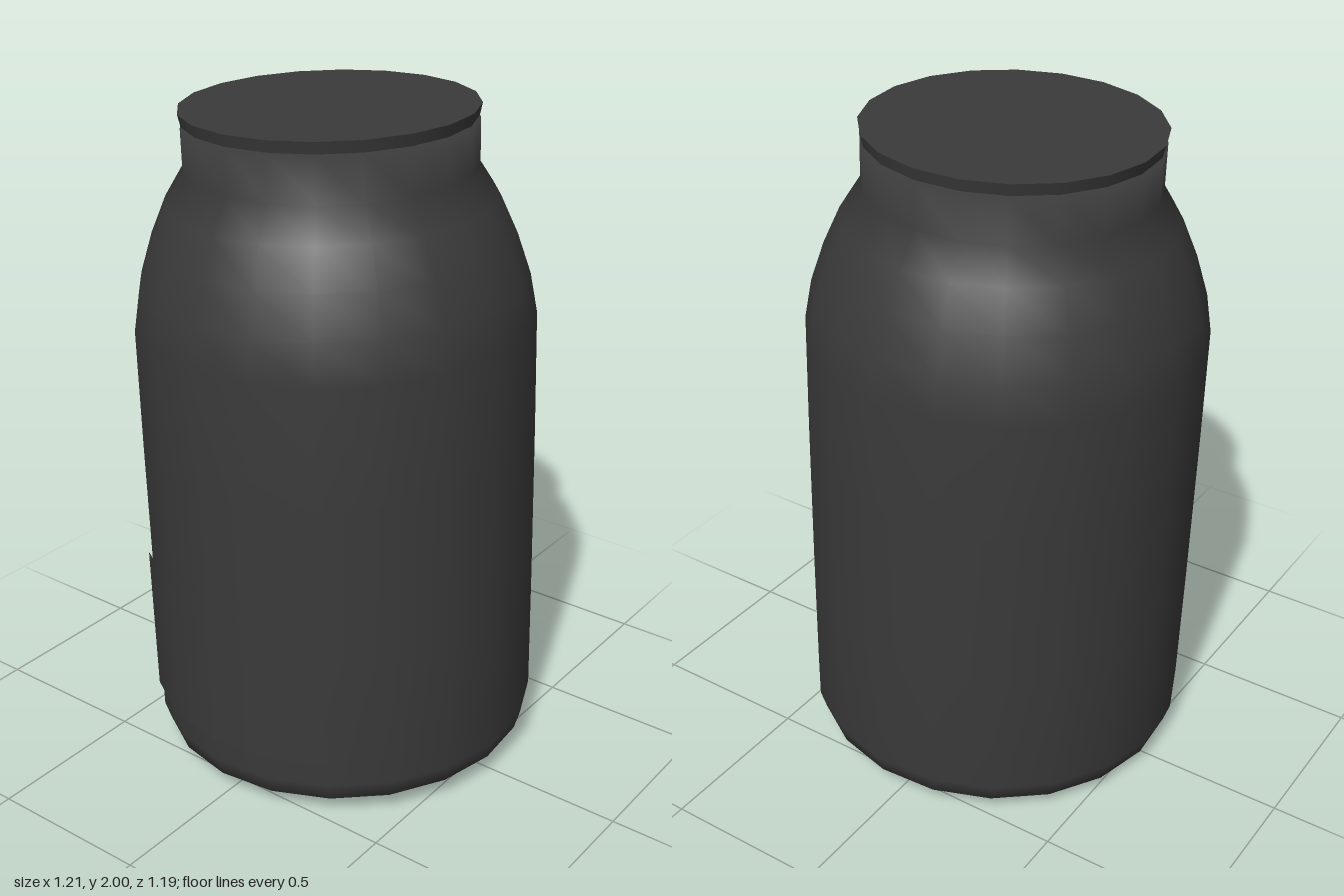
import * as THREE from 'three';

const SIDES = 20;
const PHI = -0.07; // turn of the facets about the jar's axis
const STEP = (Math.PI * 2) / SIDES;

export function createModel() {
  const model = new THREE.Group();
  model.name = 'jar';
  const dark = new THREE.MeshStandardMaterial({ color: 0x3a3a3a });
  const labelMaterial = new THREE.MeshStandardMaterial({ color: 0x3a3a3a, side: THREE.DoubleSide });

  const add = (name, geometry, material, y = 0) => {
    const mesh = new THREE.Mesh(geometry, material);
    mesh.name = name;
    mesh.position.y = y;
    model.add(mesh);
  };

  // Body: rounded base, straight wall, curved shoulder and neck
  const profile = [
    [0, 0], [0.47, 0], [0.53, 0.012], [0.57, 0.042], [0.588, 0.1],
    [0.59, 0.5], [0.59, 1.0], [0.588, 1.36], [0.567, 1.48], [0.528, 1.6],
    [0.48, 1.71], [0.421, 1.805], [0.421, 1.935], [0, 1.935],
  ].map(([r, y]) => new THREE.Vector2(r, y));
  add('body', new THREE.LatheGeometry(profile, SIDES, PHI), dark);

  // Lid: thin disc, slightly narrower underneath
  add('lid', new THREE.CylinderGeometry(0.426, 0.418, 0.035, SIDES, 1, false, PHI), dark, 1.9575);

  // Label: curved panel over four facets of the front
  add('label', new THREE.CylinderGeometry(0.6, 0.6, 0.465, 4, 1, true, PHI - 2 * STEP, 4 * STEP),
    labelMaterial, 0.4125);

  // The whole jar leans slightly
  model.rotation.set(0.006, 0, 0.028);
  model.position.set(0.016, 0.014, -0.003);

  const root = new THREE.Group();
  root.name = 'leaningJar';
  root.add(model);
  return root;
}
